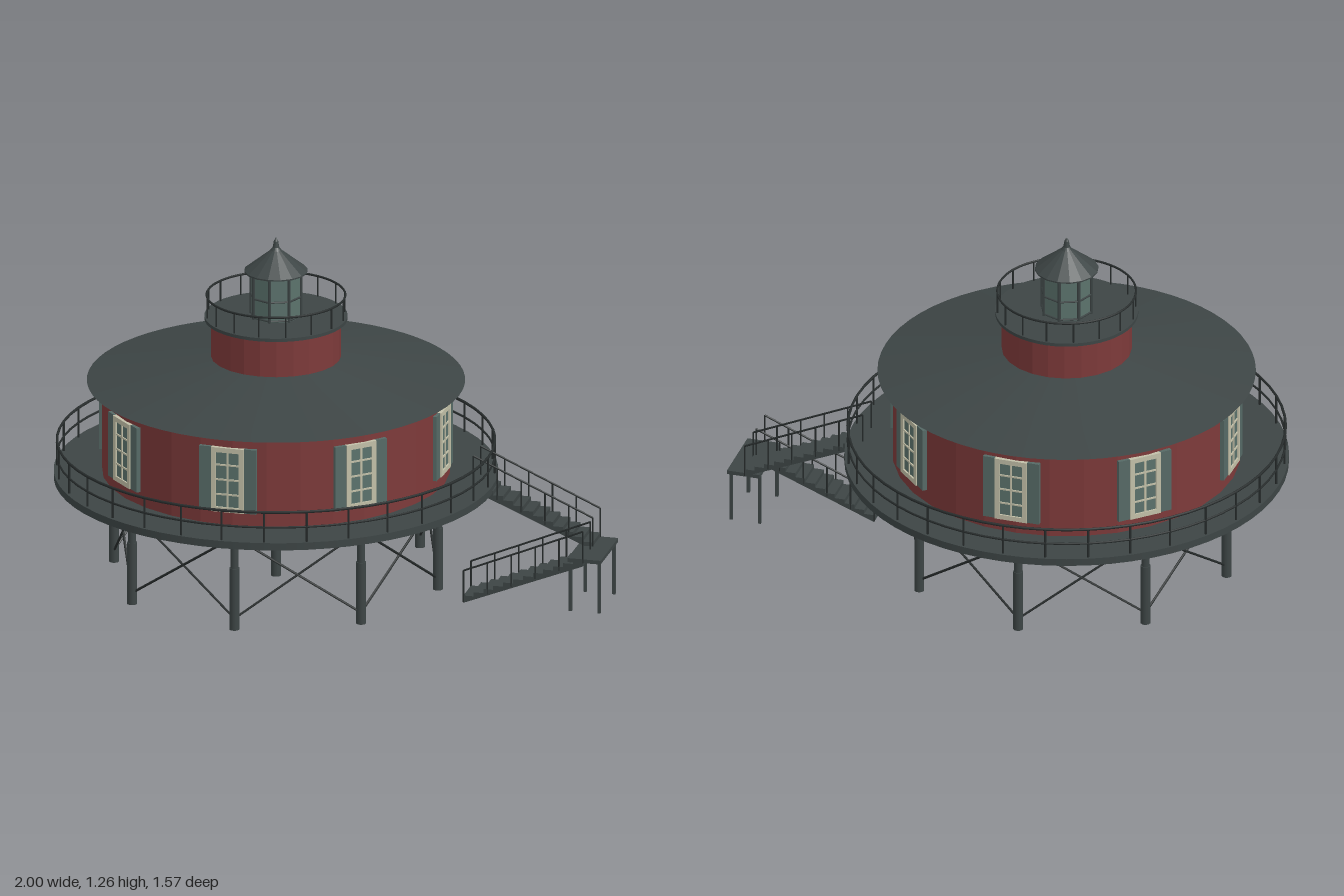
import * as THREE from 'three';

const mat = (name, color) => {
  const m = new THREE.MeshStandardMaterial({ color });
  m.name = name;
  return m;
};

export function createModel() {
  const red = mat('red wall', 0x7d3a3a);
  const slate = mat('slate metal', 0x3d4545);
  const iron = mat('dark iron', 0x272c2c);
  const cream = mat('cream trim', 0xc2c0a8);
  const shutterGreen = mat('shutter green', 0x566a66);
  const glass = mat('window glass', 0x5b726c);

  const model = new THREE.Group();
  model.name = 'pileLighthouse';
  const house = new THREE.Group(); // everything round the central axis
  house.name = 'house';
  house.position.x = -0.215;
  model.add(house);

  const add = (parent, name, geo, material, x = 0, y = 0, z = 0) => {
    const m = new THREE.Mesh(geo, material);
    m.name = name;
    m.position.set(x, y, z);
    parent.add(m);
    return m;
  };
  const flat = (geo) => {
    const g = geo.toNonIndexed();
    g.computeVertexNormals();
    return g;
  };
  // upright drum or cone between two heights
  const drum = (parent, name, rTop, rBottom, y0, y1, sides, material, faceted = false) => {
    const g = new THREE.CylinderGeometry(rTop, rBottom, y1 - y0, sides);
    return add(parent, name, faceted ? flat(g) : g, material, 0, (y0 + y1) / 2, 0);
  };
  const box = (parent, name, w, h, d, material, x, y, z) =>
    add(parent, name, new THREE.BoxGeometry(w, h, d), material, x, y, z);
  // thin rod between two points
  const rod = (parent, name, a, b, r, material = iron) => {
    const p = new THREE.Vector3(...a), q = new THREE.Vector3(...b);
    const dir = q.clone().sub(p);
    const m = add(parent, name, new THREE.CylinderGeometry(r, r, dir.length(), 6), material);
    m.position.copy(p).add(q).multiplyScalar(0.5);
    m.quaternion.setFromUnitVectors(new THREE.Vector3(0, 1, 0), dir.normalize());
    return m;
  };
  const polar = (r, a, y) => [r * Math.sin(a), y, r * Math.cos(a)];
  const ringRail = (name, r, y, tube) => {
    const m = add(house, name, new THREE.TorusGeometry(r, tube, 6, 64), iron, 0, y, 0);
    m.rotation.x = Math.PI / 2;
  };

  // Legs and cross braces
  drum(house, 'centreLeg', 0.016, 0.018, 0, 0.375, 12, slate);
  for (let i = 0; i < 8; i++) {
    const a = (i * Math.PI) / 4, b = a + Math.PI / 4;
    const [x, , z] = polar(0.59, a, 0);
    const leg = new THREE.Group();
    leg.name = 'leg';
    leg.position.set(x, 0, z);
    house.add(leg);
    drum(leg, 'legPost', 0.015, 0.015, 0.2, 0.375, 12, slate);
    drum(leg, 'legSleeve', 0.018, 0.018, 0, 0.23, 12, slate);
    rod(house, 'crossBrace', polar(0.59, a, 0.345), polar(0.59, b, 0.04), 0.0045);
    rod(house, 'crossBrace', polar(0.59, a, 0.04), polar(0.59, b, 0.345), 0.0045);
  }

  // Deck with its railing
  drum(house, 'deck', 0.785, 0.785, 0.37, 0.397, 64, slate);
  for (let i = 0; i < 32; i++) {
    const a = (i * Math.PI) / 16;
    rod(house, 'deckRailPost', polar(0.773, a, 0.39), polar(0.773, a, 0.51), 0.004);
  }
  ringRail('deckTopRail', 0.773, 0.508, 0.005);
  ringRail('deckMidRail', 0.773, 0.452, 0.004);

  // Round house, main roof, upper drum and gallery
  drum(house, 'wall', 0.615, 0.615, 0.395, 0.735, 32, red, true);
  drum(house, 'mainRoof', 0.23, 0.668, 0.732, 0.822, 64, slate);
  drum(house, 'upperDrum', 0.23, 0.23, 0.815, 0.965, 24, red, true);
  drum(house, 'galleryFloor', 0.253, 0.253, 0.962, 0.974, 48, slate);
  for (let i = 0; i < 16; i++) {
    const a = (i * Math.PI) / 8;
    rod(house, 'galleryRailPost', polar(0.245, a, 0.97), polar(0.245, a, 1.05), 0.003);
  }
  ringRail('galleryTopRail', 0.245, 1.05, 0.004);

  // Lantern room: eight glass sides with posts and bars
  drum(house, 'lanternGlass', 0.09, 0.09, 0.97, 1.14, 8, glass, true);
  for (let i = 0; i < 8; i++) {
    const a = (i * Math.PI) / 4, b = a + Math.PI / 4;
    rod(house, 'lanternPost', polar(0.091, a, 0.97), polar(0.091, a, 1.14), 0.006, slate);
    for (const y of [0.98, 1.05, 1.133])
      rod(house, 'lanternBar', polar(0.091, a, y), polar(0.091, b, y), 0.004, slate);
  }
  const cap = [[0, 1.138], [0.113, 1.138], [0.113, 1.143], [0.06, 1.185], [0.02, 1.217],
    [0.012, 1.228], [0.008, 1.25], [0, 1.265]].map(([x, y]) => new THREE.Vector2(x, y));
  add(house, 'lanternRoof', flat(new THREE.LatheGeometry(cap, 16)), slate);

  // Eight shuttered windows, set slightly off the axes
  for (let i = 0; i < 8; i++) {
    const w = new THREE.Group();
    w.name = 'window';
    w.rotation.y = (i * Math.PI) / 4 - 0.028;
    house.add(w);
    const y = 0.567, h = 0.24;
    box(w, 'pane', 0.1, h - 0.02, 0.012, glass, 0, y, 0.613);
    for (const s of [-1, 1]) {
      box(w, 'frameSide', 0.018, h, 0.022, cream, s * 0.051, y, 0.614);
      box(w, 'frameEnd', 0.12, 0.018, 0.022, cream, 0, y + s * (h / 2 - 0.009), 0.614);
      box(w, 'shutter', 0.044, h, 0.022, shutterGreen, s * 0.082, y, 0.609);
    }
    box(w, 'muntin', 0.007, h - 0.03, 0.006, cream, 0, y, 0.62);
    for (const dy of [-0.055, 0, 0.055])
      box(w, 'muntin', 0.09, 0.006, 0.006, cream, 0, y + dy, 0.62);
  }

  // Stairs: a saw-tooth flight falling from the high end to the low end
  const flight = (name, x0, y0, x1, y1, zMid, steps) => {
    const g = new THREE.Group();
    g.name = name;
    model.add(g);
    const dx = (x1 - x0) / steps, dy = (y1 - y0) / steps, width = 0.11;
    const s = new THREE.Shape();
    s.moveTo(x0, y0);
    for (let i = 1; i <= steps; i++) {
      s.lineTo(x0 + i * dx, y0 + (i - 1) * dy);
      s.lineTo(x0 + i * dx, y0 + i * dy);
    }
    s.lineTo(x1, y1 - 0.012);
    s.lineTo(x0, y0 - 0.022);
    s.closePath();
    add(g, 'steps', new THREE.ExtrudeGeometry(s, { depth: width, bevelEnabled: false }), slate, 0, 0, zMid - width / 2);
    for (const side of [-1, 1]) {
      const z = zMid + side * (width / 2 - 0.002), n = 5;
      for (let i = 0; i <= n; i++) {
        const x = x0 + ((x1 - x0) * i) / n, y = y0 + ((y1 - y0) * i) / n;
        rod(g, 'stairRailPost', [x, y - 0.01, z], [x, y + 0.108, z], 0.003);
      }
      rod(g, 'stairHandrail', [x0, y0 + 0.108, z], [x1, y1 + 0.108, z], 0.0035);
    }
  };
  flight('upperFlight', 0.5, 0.395, 0.935, 0.202, -0.07, 12);
  flight('lowerFlight', 0.935, 0.198, 0.5, 0.014, 0.07, 12);

  // Landing on four posts
  box(model, 'landing', 0.12, 0.014, 0.25, slate, 0.94, 0.196, 0);
  for (const x of [0.885, 0.99])
    for (const z of [-0.105, 0.105])
      box(model, 'landingPost', 0.011, 0.19, 0.011, slate, x, 0.095, z);

  return model;
}
